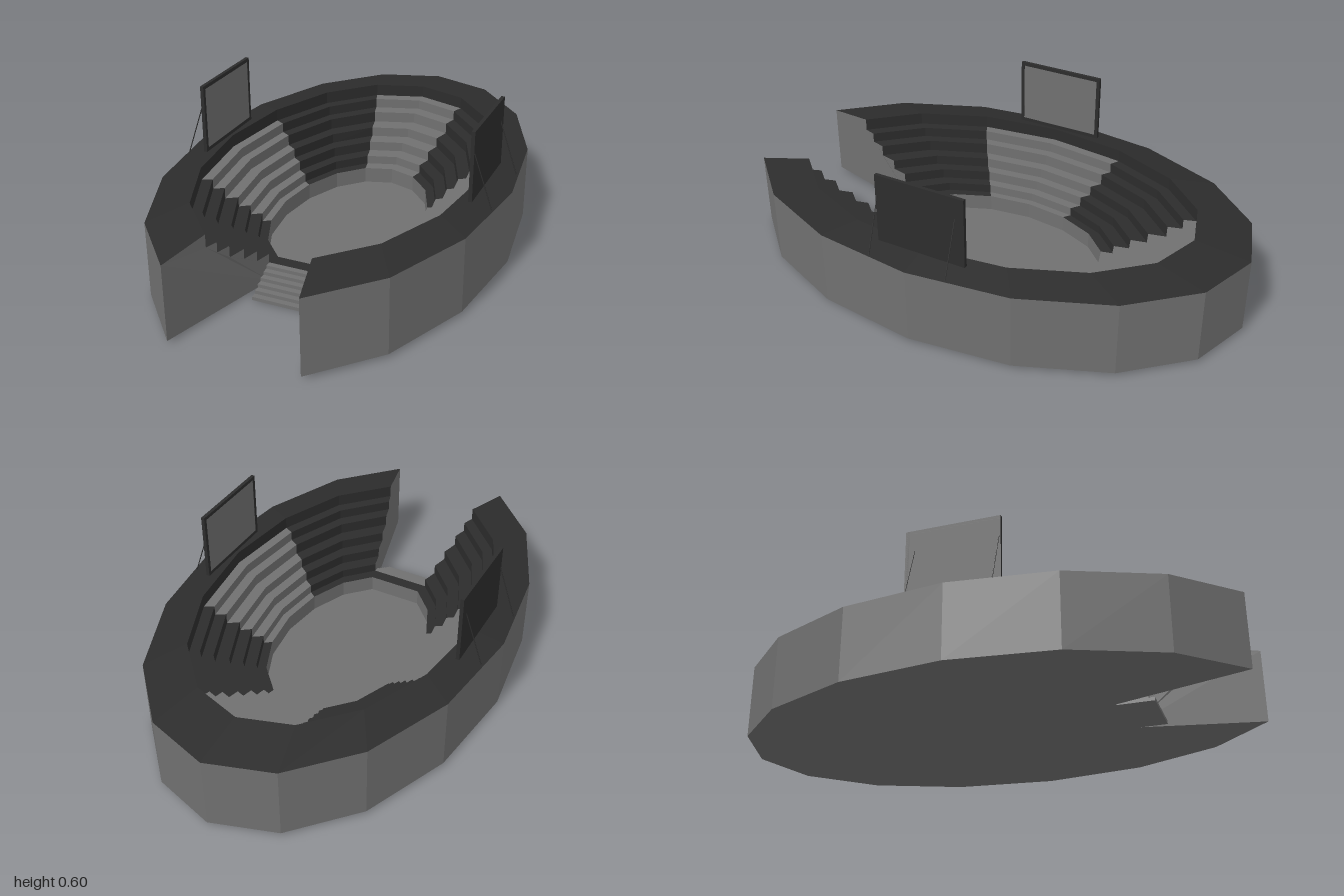
import * as THREE from 'three';

const grey = new THREE.MeshStandardMaterial({ color: 0x707070, flatShading: true });
const dark = new THREE.MeshStandardMaterial({ color: 0x2c2c2c, flatShading: true });
const capGrey = grey.clone();
capGrey.side = THREE.DoubleSide;

const CZ = 0.04; // centre of the ellipses
const STEP = Math.PI / 8; // sixteen-sided bowl

// Ellipse rings [half width, half length], from the arena edge outward
const arena = [0.285, 0.45], podium = [0.315, 0.503], outer = [0.65, 1.04];
const tiers = [podium, [0.355, 0.57], [0.395, 0.64], [0.44, 0.715], [0.48, 0.775], [0.52, 0.825]];
const levels = [0.08, 0.115, 0.155, 0.195, 0.24, 0.28, 0.33];
const FLOOR = 0.015, BASE = 0.003;

// Point on a ring at sector k, counted from the back (k = 0) towards +x
const at = ([a, b, y], k) => new THREE.Vector3(a * Math.sin(k * STEP), y, CZ - b * Math.cos(k * STEP));

function meshFrom(name, points, material) {
  const geo = new THREE.BufferGeometry().setFromPoints(points);
  geo.computeVertexNormals();
  const mesh = new THREE.Mesh(geo, material);
  mesh.name = name;
  return mesh;
}

// Quad between two profile points, spanning sectors k0 to k1
function quad(out, p, q, k0, k1) {
  const A = at(p, k0), B = at(q, k0), C = at(q, k1), D = at(p, k1);
  out.push(A, D, C, A, C, B);
}

// Sweep a profile over a list of [k0, k1] sectors
function sweep(name, profile, sectors, material) {
  const pts = [];
  for (const [k0, k1] of sectors)
    for (let i = 0; i + 1 < profile.length; i++) quad(pts, profile[i], profile[i + 1], k0, k1);
  return meshFrom(name, pts, material);
}

// Horizontal disc with the flat front edge
function disc(name, ring, up, sectors, material) {
  const pts = [];
  const c = new THREE.Vector3(0, ring[2], CZ);
  for (const [k0, k1] of sectors) {
    const p = at(ring, k0), q = at(ring, k1);
    pts.push(...(up ? [c, q, p] : [c, p, q]));
  }
  return meshFrom(name, pts, material);
}

function bar(name, from, to, radius, material) {
  const d = to.clone().sub(from);
  const mesh = new THREE.Mesh(new THREE.CylinderGeometry(radius, radius, d.length(), 6), material);
  mesh.position.copy(from).lerp(to, 0.5);
  mesh.quaternion.setFromUnitVectors(new THREE.Vector3(0, 1, 0), d.normalize());
  mesh.name = name;
  return mesh;
}

function box(name, w, h, d, x, y, z, material) {
  const mesh = new THREE.Mesh(new THREE.BoxGeometry(w, h, d), material);
  mesh.position.set(x, y, z);
  mesh.name = name;
  return mesh;
}

// Display board on the rim, side = +1 for the left, -1 for the right
function displayBoard(side) {
  const g = new THREE.Group();
  g.name = side > 0 ? 'leftDisplayBoard' : 'rightDisplayBoard';
  const x = 0.543 * side, z0 = -0.148, z1 = 0.215, zc = (z0 + z1) / 2, y0 = 0.327, y1 = 0.6;
  const t = 0.014, yc = (y0 + y1) / 2;
  g.add(box('boardBack', 0.008, y1 - y0, z1 - z0, x + 0.003 * side, yc, zc, dark));
  g.add(box('boardScreen', 0.006, y1 - y0 - 2 * t, z1 - z0 - 2 * t, x - 0.003 * side, yc, zc, grey));
  for (const z of [z0 + t / 2, z1 - t / 2]) g.add(box('frameSide', t, y1 - y0, t, x, yc, z, dark));
  for (const y of [y0 + t / 2, y1 - t / 2]) g.add(box('frameRail', t, t, z1 - z0, x, y, zc, dark));
  for (const z of [-0.112, 0.208])
    g.add(bar('strut', new THREE.Vector3(0.546 * side, 0.525, z), new THREE.Vector3(0.622 * side, 0.308, z), 0.002, dark));
  return g;
}

export function createModel() {
  const model = new THREE.Group();
  model.name = 'arena';

  // Sectors around the bowl; the front pair is the entrance gap
  const ring = [];
  for (let k = -7; k < 7; k++) ring.push([k, k + 1]);
  const gap = [[7, 9]];
  const all = [...ring, ...gap];
  const isLight = ([k]) => (k >= -1 && k < 1) || (k >= 3 && k < 5) || (k >= -5 && k < -3);

  // Stepped seating profile
  const seats = [[...arena, levels[0]]];
  tiers.forEach((r, i) => {
    seats.push([...r, levels[i]]);
    if (i < tiers.length - 1) seats.push([...r, levels[i + 1]]);
  });
  const rim = [[...tiers[5], levels[5]], [...tiers[5], levels[6]], [...outer, 0.305]];
  const shell = [[...outer, 0.305], [...outer, 0.013], [...podium, BASE]];

  model.add(disc('arenaFloor', [...arena, FLOOR], true, all, grey));
  model.add(sweep('podiumWall', [[...arena, FLOOR], [...arena, levels[0]]], all, grey));
  model.add(sweep('lightSeating', seats, ring.filter(isLight), grey));
  model.add(sweep('darkSeating', seats, ring.filter((s) => !isLight(s)), dark));
  model.add(sweep('rim', rim, ring, dark));
  model.add(sweep('outerWall', shell, ring, grey));
  model.add(disc('underside', [...podium, BASE], false, all, grey));

  // Low sill across the entrance
  model.add(sweep('entranceSill', [[...arena, levels[0]], [...podium, levels[0]]], gap, dark));
  model.add(sweep('entranceWall', [[...podium, levels[0]], [...podium, BASE]], gap, grey));

  // Stepped end walls on both sides of the entrance
  const section = [[...arena, BASE], ...seats, ...rim.slice(1), [...outer, 0.013], [...podium, BASE]];
  const tris = THREE.ShapeUtils.triangulateShape(section.map(([a, , y]) => new THREE.Vector2(a, y)), []);
  for (const k of [-7, 7])
    model.add(meshFrom('entranceEndWall', tris.flat().map((i) => at(section[i], k)), capGrey));

  // Entrance stairs
  const stairs = new THREE.Group();
  stairs.name = 'entranceStairs';
  const n = 6, depth = 0.14 / n;
  for (let i = 0; i < n; i++) {
    const h = (levels[0] * (n - i)) / n;
    stairs.add(box('stair', 0.24, h, depth, 0, h / 2, 0.505 + depth * (i + 0.5), grey));
  }
  model.add(stairs);

  model.add(displayBoard(1), displayBoard(-1));
  return model;
}
